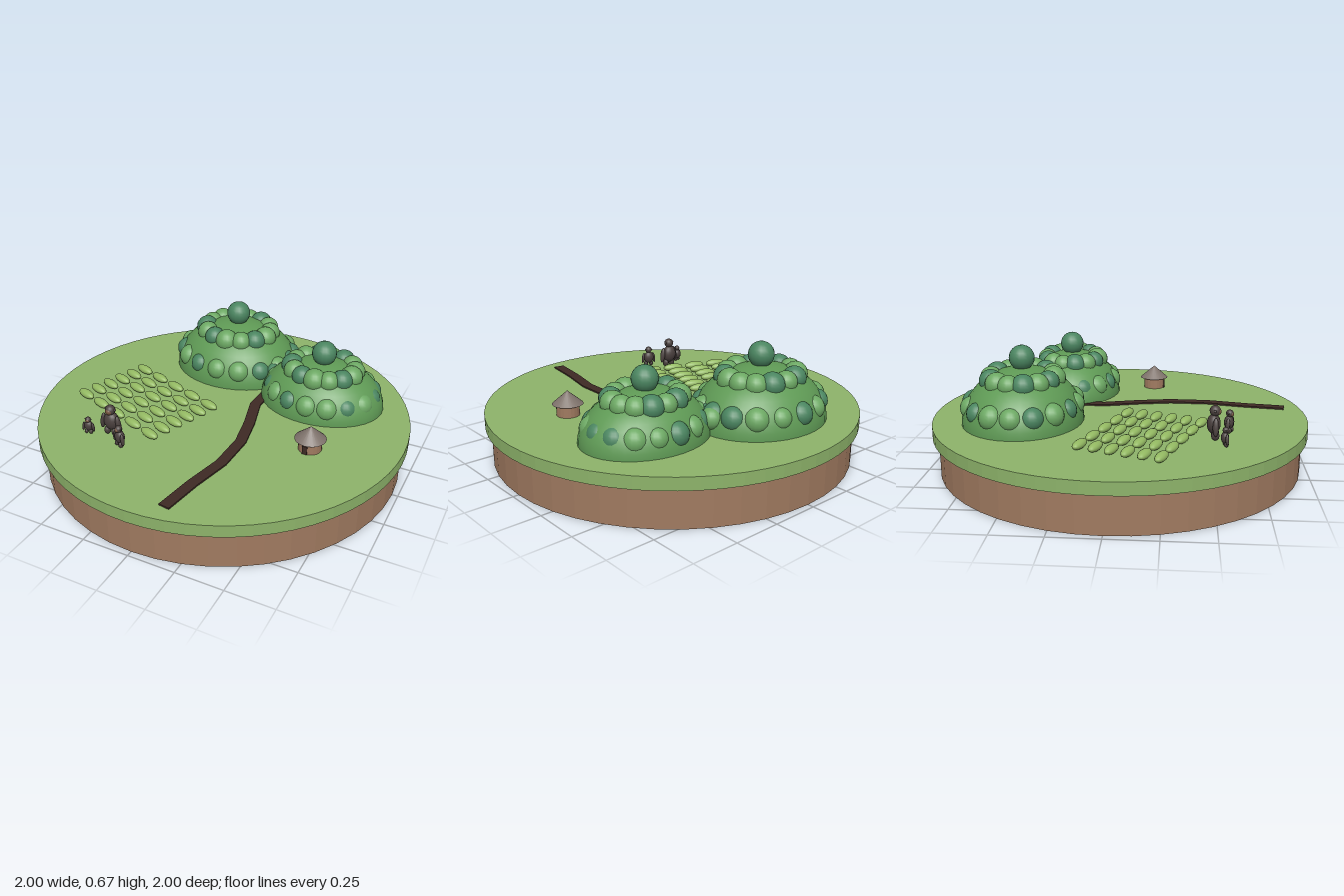
import * as THREE from 'three';

const mat = (name, color, extra = {}) => {
  const m = new THREE.MeshStandardMaterial({ color, ...extra });
  m.name = name;
  return m;
};

export function createModel() {
  const grass = mat('grass', 0x8db36a, { flatShading: true });
  const soil = mat('soil', 0xa07a60, { flatShading: true });
  const leafMid = mat('mid leaf', 0x5f9a55);
  const leafDark = mat('dark leaf', 0x4a8560);
  const leafLight = mat('light leaf', 0x6ca863);
  const trail = mat('dark earth', 0x3e2a24);
  const thatch = mat('thatch', 0x7f736c);
  const fur = mat('fur', 0x4a403e);
  const skin = mat('skin', 0x75543f);
  const crop = mat('crop', 0x93b962);

  const model = new THREE.Group();
  const GROUND = 0.265;
  const ball = new THREE.SphereGeometry(1, 18, 12);

  const add = (parent, name, geo, material, x = 0, y = 0, z = 0) => {
    const m = new THREE.Mesh(geo, material);
    m.name = name;
    m.position.set(x, y, z);
    parent.add(m);
    return m;
  };
  const blob = (parent, name, material, x, y, z, rx, ry = rx, rz = rx) => {
    const m = add(parent, name, ball, material, x, y, z);
    m.scale.set(rx, ry, rz);
    return m;
  };
  const group = (name, x = 0, y = 0, z = 0, parent = model) => {
    const g = new THREE.Group();
    g.name = name;
    g.position.set(x, y, z);
    parent.add(g);
    return g;
  };

  // Round island: soil drum under a wider grass disc
  add(model, 'soilBase', new THREE.CylinderGeometry(0.97, 0.97, 0.2, 48), soil, 0, 0.1);
  add(model, 'grassDisc', new THREE.CylinderGeometry(1, 1, GROUND - 0.2, 64), grass, 0, (GROUND + 0.2) / 2);

  // Wooded hills: a dome, two oval rings of tree crowns and one crown on top
  const dome = new THREE.SphereGeometry(1, 36, 12, 0, Math.PI * 2, 0, Math.PI / 2);
  const shades = [leafDark, leafLight, leafDark, leafLight, leafLight];
  const hill = (name, x, z, size, rings, topY) => {
    const g = group(name, x, GROUND, z);
    add(g, 'hillDome', dome, leafMid).scale.set(...size);
    rings.forEach(([count, rx, rz, y, r], k) => {
      for (let i = 0; i < count; i++) {
        const a = (i / count) * Math.PI * 2 + k * 0.2;
        const s = r * (1 + 0.06 * Math.sin(i * 2.3 + k));
        blob(g, 'treeCrown', shades[(i + k) % shades.length], Math.cos(a) * rx, y, Math.sin(a) * rz, s);
      }
    });
    blob(g, 'topCrown', leafDark, 0, topY, 0, 0.067);
  };
  hill('largeHill', -0.155, -0.5, [0.37, 0.285, 0.32],
    [[16, 0.312, 0.263, 0.09, 0.062], [14, 0.19, 0.165, 0.227, 0.06]], 0.333);
  hill('smallHill', 0.445, -0.32, [0.345, 0.245, 0.28],
    [[16, 0.265, 0.222, 0.075, 0.063], [14, 0.172, 0.148, 0.197, 0.058]], 0.288);
  // Crowns filling the saddle between the hills
  [[0.15, -0.45], [0.19, -0.51], [0.14, -0.36]].forEach(([x, z], i) =>
    blob(model, 'saddleCrown', shades[i], x, 0.345, z, 0.055));

  // Winding trail: a low ribbon extruded from its left and right edges
  const way = [[0.15, -0.3], [0.143, -0.1], [0.195, 0.09], [0.23, 0.27], [0.226, 0.48], [0.18, 0.69], [0.148, 0.9]]
    .map(([x, z]) => new THREE.Vector2(x, z));
  const side = (w) => way.map((p, i) => {
    const t = way[Math.min(i + 1, way.length - 1)].clone().sub(way[Math.max(i - 1, 0)]).normalize();
    return new THREE.Vector2(p.x - t.y * w, p.y + t.x * w);
  });
  const ribbon = new THREE.Shape([...side(0.029), ...side(-0.029).reverse()]);
  const trailGeo = new THREE.ExtrudeGeometry(ribbon, { depth: 0.014, bevelEnabled: false });
  trailGeo.rotateX(Math.PI / 2);
  add(model, 'trail', trailGeo, trail, 0, GROUND + 0.008);

  // Hut with conical roof and a door
  const hut = group('hut', 0.565, GROUND, 0.165);
  add(hut, 'hutWall', new THREE.CylinderGeometry(0.06, 0.06, 0.07, 20), soil, 0, 0.035);
  add(hut, 'hutRoof', new THREE.ConeGeometry(0.081, 0.07, 24), thatch, 0, 0.096);
  add(hut, 'hutDoor', new THREE.BoxGeometry(0.026, 0.045, 0.008), trail, -0.006, 0.0225, 0.059);

  // Slanted field of crop mounds
  const field = group('cropField');
  for (let row = 0; row < 6; row++) {
    for (let col = 0; col < 5; col++) {
      const m = blob(field, 'cropMound', crop,
        -0.595 + col * 0.131 - row * 0.028, 0.287, -0.145 + col * 0.0475 + row * 0.078, 0.061, 0.022, 0.026);
      m.rotation.y = -0.35;
    }
  }

  // Ape family, built at unit height and scaled
  const ape = (name, x, z, height, turn) => {
    const g = group(name, x, GROUND, z);
    g.scale.setScalar(height);
    g.rotation.y = turn;
    blob(g, 'body', fur, 0, 0.45, 0, 0.25, 0.3, 0.2);
    blob(g, 'head', fur, 0, 0.84, 0.03, 0.16);
    blob(g, 'face', skin, 0, 0.82, 0.11, 0.115, 0.11, 0.1);
    for (const s of [-1, 1]) {
      const arm = blob(g, 'arm', fur, s * 0.27, 0.42, 0.05, 0.08, 0.27, 0.09);
      arm.rotation.z = s * 0.15;
      blob(g, 'leg', fur, s * 0.13, 0.13, 0.05, 0.1, 0.14, 0.12);
      blob(g, 'ear', fur, s * 0.16, 0.86, 0.02, 0.04);
    }
  };
  ape('adultApe', -0.4, 0.49, 0.17, 0);
  ape('youngApe', -0.3, 0.57, 0.12, -0.4);
  ape('babyApe', -0.51, 0.54, 0.096, 0.2);

  return model;
}
